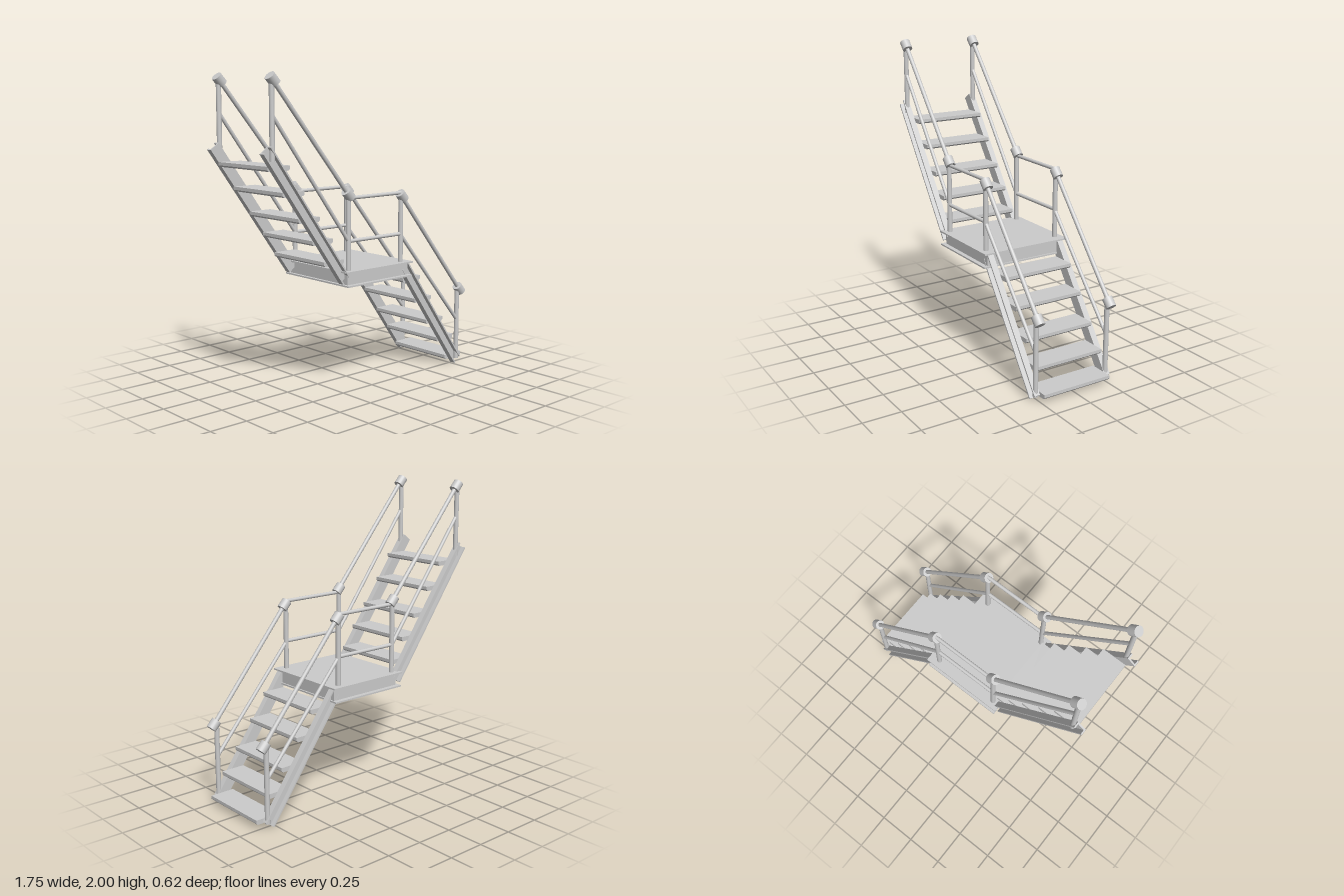
import * as THREE from 'three';

const material = new THREE.MeshStandardMaterial({ color: 0xcccccc });
const SIDE_Z = 0.262;

function add(parent, geometry, name, x = 0, y = 0, z = 0) {
  const mesh = new THREE.Mesh(geometry, material);
  mesh.name = name;
  mesh.position.set(x, y, z);
  parent.add(mesh);
  return mesh;
}

// Round bar between two [x, y] points in the plane at depth z
function bar(parent, name, a, b, z, radius) {
  const dx = b[0] - a[0], dy = b[1] - a[1];
  const mesh = add(parent, new THREE.CylinderGeometry(radius, radius, Math.hypot(dx, dy), 20),
    name, (a[0] + b[0]) / 2, (a[1] + b[1]) / 2, z);
  mesh.rotation.z = Math.atan2(dy, dx) - Math.PI / 2;
  return mesh;
}

// C-channel between two [x, y] points, its flanges turned outward
function stringer(parent, name, a, b, side) {
  const h = 0.036, t = 0.01, inner = 0.243, outer = 0.283;
  const section = [[inner, -h], [outer, -h], [outer, -h + t], [inner + t, -h + t],
    [inner + t, h - t], [outer, h - t], [outer, h], [inner, h]];
  const shape = new THREE.Shape(section.map(([z, y]) => new THREE.Vector2(-side * z, y)));
  const dx = b[0] - a[0], dy = b[1] - a[1];
  const geometry = new THREE.ExtrudeGeometry(shape, { depth: Math.hypot(dx, dy), bevelEnabled: false });
  geometry.rotateY(Math.PI / 2);
  add(parent, geometry, name, a[0], a[1], 0).rotation.z = Math.atan2(dy, dx);
}

// Flat step with chamfered lower edges
function tread(parent, x, y) {
  const w = 0.082, t = 0.015, c = 0.01;
  const shape = new THREE.Shape([[-w + c, -t], [w - c, -t], [w, -t + c], [w, t], [-w, t], [-w, -t + c]]
    .map(([px, py]) => new THREE.Vector2(px, py)));
  const geometry = new THREE.ExtrudeGeometry(shape, { depth: 0.488, bevelEnabled: false });
  add(parent, geometry, 'tread', x, y, -0.244);
}

export function createModel() {
  const model = new THREE.Group();
  model.name = 'staircase';

  // Landing: core with thin overhanging plates
  const landing = new THREE.Group();
  landing.name = 'landing';
  model.add(landing);
  add(landing, new THREE.BoxGeometry(0.53, 0.09, 0.56), 'landingFrame', 0.025, 0.745, 0);
  add(landing, new THREE.BoxGeometry(0.58, 0.01, 0.62), 'landingTopPlate', 0.02, 0.789, 0);
  add(landing, new THREE.BoxGeometry(0.56, 0.01, 0.62), 'landingBottomPlate', 0.02, 0.701, 0);

  // Treads of both flights
  const upper = [[-0.74, 1.455], [-0.632, 1.298], [-0.514, 1.133], [-0.41, 0.99], [-0.32, 0.85]];
  const lower = [[0.366, 0.658], [0.477, 0.503], [0.595, 0.338], [0.702, 0.195], [0.79, 0.053]];
  for (const [name, steps] of [['upperTreads', upper], ['lowerTreads', lower]]) {
    const flight = new THREE.Group();
    flight.name = name;
    model.add(flight);
    for (const [x, y] of steps) tread(flight, x, y);
  }

  // Post bottoms, post tops (at the caps) and middle rail joints, from the top down
  const feet = [[-0.8, 1.5], [-0.217, 0.79], [0.24, 0.79], [0.803, 0.035]];
  const tops = [[-0.793, 1.962], [-0.217, 1.268], [0.25, 1.222], [0.823, 0.53]];
  const joints = [[-0.8, 1.765], [-0.217, 0.978], [0.24, 0.972], [0.803, 0.315]];

  for (const side of [1, -1]) {
    const z = side * SIDE_Z;
    const group = new THREE.Group();
    group.name = side > 0 ? 'frontSide' : 'backSide';
    model.add(group);

    stringer(group, 'upperStringer', [-0.848, 1.566], [-0.25, 0.737], side);
    stringer(group, 'lowerStringer', [0.27, 0.76], [0.797, 0.029], side);

    feet.forEach(([x, y], i) => {
      bar(group, 'post', [x, y], [x, tops[i][1]], z, 0.016);
      // Cap aligned with the sloping handrail
      const [cx, cy] = tops[i];
      bar(group, 'postCap', [cx - 0.021, cy + 0.023], [cx + 0.021, cy - 0.023], z, 0.033);
    });

    // Handrails and middle rails
    bar(group, 'upperHandrail', tops[0], tops[1], z, 0.014);
    bar(group, 'landingHandrail', [-0.217, 1.246], [0.25, 1.246], z, 0.012);
    bar(group, 'lowerHandrail', tops[2], tops[3], z, 0.014);
    bar(group, 'upperMiddleRail', joints[0], joints[1], z, 0.012);
    bar(group, 'landingMiddleRail', [-0.217, 0.978], [0.24, 0.978], z, 0.012);
    bar(group, 'lowerMiddleRail', joints[2], joints[3], z, 0.012);
  }
  return model;
}
